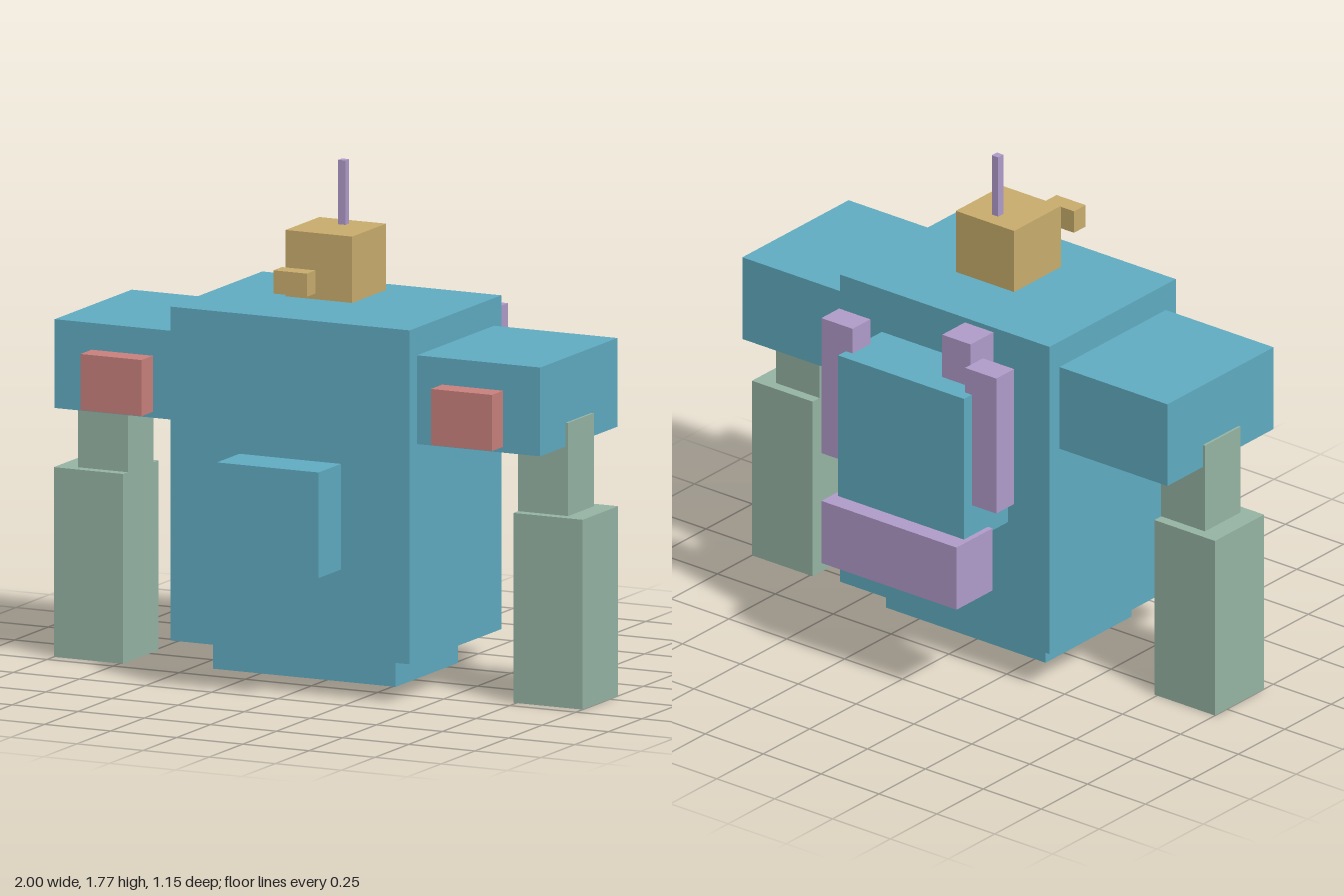
import * as THREE from 'three';

const paint = (name, color) => {
  const m = new THREE.MeshStandardMaterial({ color });
  m.name = name;
  return m;
};

export function createModel() {
  const model = new THREE.Group();
  model.name = 'robot';
  const blue = paint('blue armour', 0x60acc2);
  const green = paint('sage arms', 0x95b4a4);
  const gold = paint('gold head', 0xc9ad6d);
  const red = paint('red lamps', 0xc8807c);
  const purple = paint('purple gear', 0xb09bc9);

  // Box given by its extents along each axis
  const block = (name, material, [x0, x1], [y0, y1], [z0, z1]) => {
    const mesh = new THREE.Mesh(new THREE.BoxGeometry(x1 - x0, y1 - y0, z1 - z0), material);
    mesh.position.set((x0 + x1) / 2, (y0 + y1) / 2, (z0 + z1) / 2);
    mesh.name = name;
    model.add(mesh);
  };
  // Mirrored pair: the model's left is +x
  const pair = (name, material, [x0, x1], y, z) => {
    block('left' + name, material, [x0, x1], y, z);
    block('right' + name, material, [-x1, -x0], y, z);
  };

  // Body
  block('torso', blue, [-0.452, 0.452], [0.143, 1.29], [-0.272, 0.408]);
  block('pelvis', blue, [-0.345, 0.345], [0.037, 0.143], [-0.16, 0.303]);
  block('chestBox', blue, [-0.192, 0.192], [0.445, 0.808], [0.408, 0.575]);

  // Head, snout and antenna
  block('head', gold, [-0.126, 0.126], [1.317, 1.545], [-0.056, 0.195]);
  block('snout', gold, [-0.063, 0.063], [1.37, 1.45], [0.345, 0.408]);
  block('antenna', purple, [-0.014, 0.014], [1.545, 1.766], [-0.002, 0.026]);

  // Shoulders and arms
  pair('Shoulder', blue, [0.452, 0.918], [0.89, 1.195], [-0.218, 0.354]);
  pair('ShoulderLamp', red, [0.547, 0.778], [0.91, 1.103], [0.354, 0.438]);
  pair('UpperArm', green, [0.738, 0.927], [0.652, 0.972], [-0.027, 0.165]);
  pair('Forearm', green, [0.738, 1], [0, 0.652], [-0.064, 0.2]);

  // Backpack with side tubes, exhaust and bedroll
  block('backpack', blue, [-0.272, 0.272], [0.582, 1.13], [-0.508, -0.272]);
  pair('PackTube', purple, [0.243, 0.378], [0.718, 1.222], [-0.466, -0.37]);
  block('exhaust', purple, [-0.23, -0.107], [1.05, 1.288], [-0.42, -0.297]);
  block('bedroll', purple, [-0.292, 0.292], [0.373, 0.605], [-0.573, -0.379]);

  return model;
}
